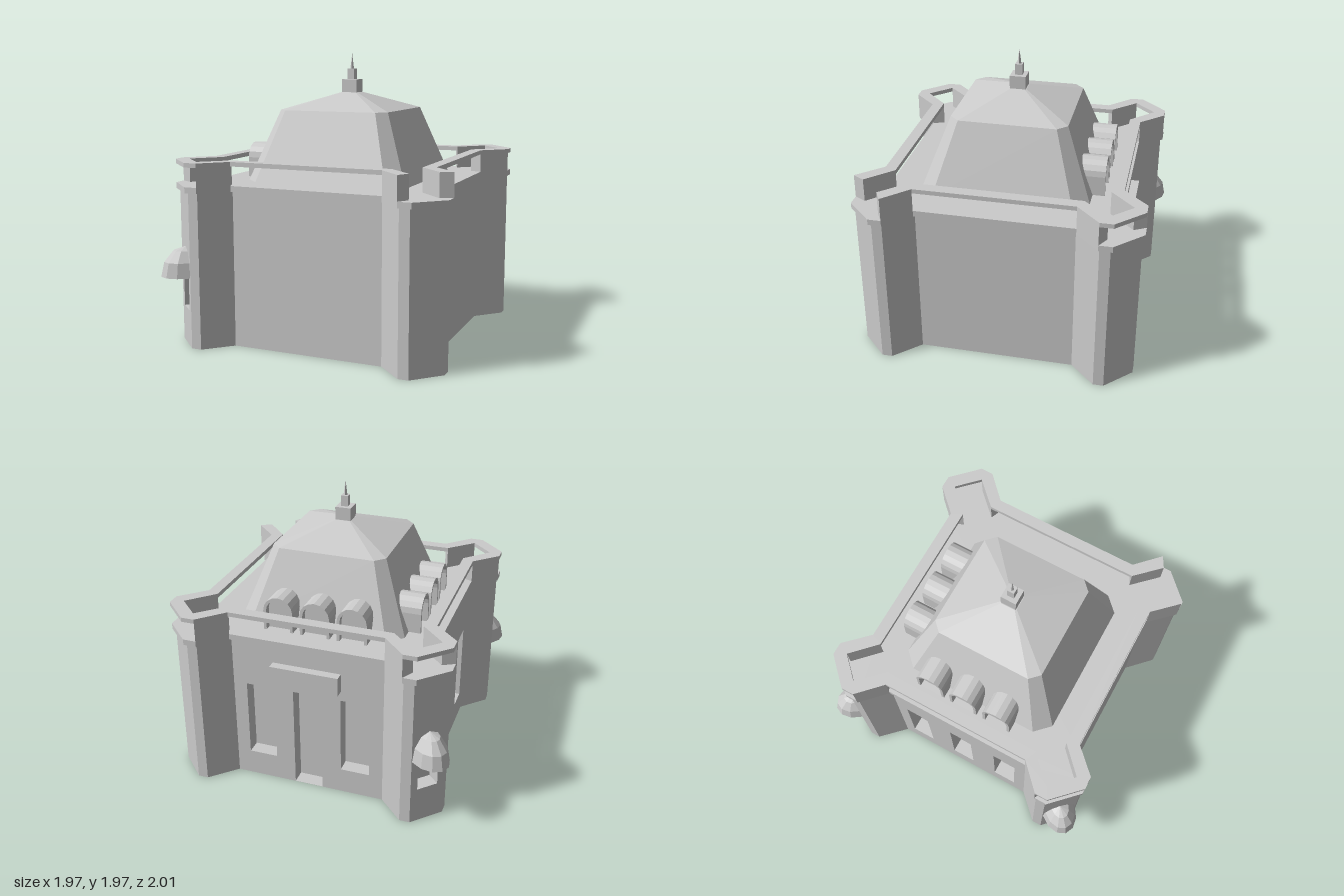
import * as THREE from 'three';
import { ConvexGeometry } from 'three/addons/geometries/ConvexGeometry.js';

const mat = new THREE.MeshStandardMaterial({ color: 0xcccccc, flatShading: true, side: THREE.DoubleSide });
const WALL_H = 1.06, DECK = 1.1, RAIL = 1.23, TOP = 1.26;

function add(parent, name, geometry, x = 0, y = 0, z = 0) {
  const mesh = new THREE.Mesh(geometry, mat);
  mesh.name = name;
  mesh.position.set(x, y, z);
  parent.add(mesh);
  return mesh;
}

// Quarter turns of a plan point [x, z]: front left, back left, back right, front right
function turn([x, z], k) {
  for (let i = 0; i < k; i++) [x, z] = [z, -x];
  return [x, z];
}
const corner = (pts, k) => pts.map((p) => turn(p, k));

// Corner bastion outlines in plan
const BODY = [[0.53, 0.78], [0.70, 0.946], [0.77, 0.946], [0.946, 0.77], [0.946, 0.70], [0.78, 0.53]];
const RIM = [[0.535, 0.80], [0.695, 0.965], [0.785, 0.965], [0.965, 0.785], [0.965, 0.695], [0.80, 0.535]];
const INNER = [[0.57, 0.72], [0.74, 0.885], [0.885, 0.74], [0.72, 0.57]];

// Extrude a plan outline upwards from y0 to y1
function slab(pts, y0, y1) {
  const shape = new THREE.Shape(pts.map(([x, z]) => new THREE.Vector2(x, -z)));
  const g = new THREE.ExtrudeGeometry(shape, { depth: y1 - y0, bevelEnabled: false });
  return g.rotateX(-Math.PI / 2).translate(0, y0, 0);
}

// Box without its front face, set behind an opening
function recess(w, h, d) {
  const g = new THREE.BoxGeometry(w, h, d);
  const idx = Array.from(g.index.array);
  idx.splice(24, 6);
  g.setIndex(idx);
  return g.translate(0, 0, -d / 2);
}

// Upright wall panel from p to q; openings are [centre, bottom, width, top]
function wall(parent, name, p, q, openings = []) {
  const ux = q[0] - p[0], uz = q[1] - p[1], half = Math.hypot(ux, uz) / 2;
  const group = new THREE.Group();
  group.name = name;
  group.position.set((p[0] + q[0]) / 2, 0, (p[1] + q[1]) / 2);
  group.rotation.y = Math.atan2(-uz, ux);
  const rect = (a, b, y0, y1) => [[a, y0], [b, y0], [b, y1], [a, y1]].map((v) => new THREE.Vector2(...v));
  const shape = new THREE.Shape(rect(-half, half, 0, WALL_H));
  for (const [c, y0, w, y1] of openings) {
    shape.holes.push(new THREE.Path(rect(c - w / 2, c + w / 2, y0, y1).reverse()));
    add(group, 'openingRecess', recess(w, y1 - y0, 0.1), c, (y0 + y1) / 2, 0);
  }
  add(group, 'wallPanel', new THREE.ShapeGeometry(shape));
  parent.add(group);
  return group;
}

// Arched dormer facing +z, centred on x = 0
function dormer() {
  const group = new THREE.Group();
  group.name = 'dormer';
  const arch = (Kind, r) => {
    const s = new Kind(), spring = 1.237 - DECK;
    s.moveTo(-r, 0);
    s.lineTo(r, 0);
    for (let i = 0; i <= 8; i++) {
      const a = (i / 8) * Math.PI;
      s.lineTo(Math.cos(a) * r, spring + Math.sin(a) * r);
    }
    s.closePath();
    return s;
  };
  const frame = arch(THREE.Shape, 0.103);
  frame.holes.push(arch(THREE.Path, 0.083));
  add(group, 'dormerFrame', new THREE.ExtrudeGeometry(frame, { depth: 0.21, bevelEnabled: false }), 0, DECK, 0.445);
  add(group, 'dormerPane', new THREE.ShapeGeometry(arch(THREE.Shape, 0.09)), 0, DECK, 0.61);
  return group;
}

export function createModel() {
  const model = new THREE.Group();
  model.name = 'pavilion';
  const building = new THREE.Group();
  building.name = 'building';
  building.position.x = 0.017;
  model.add(building);

  // Side walls: left, back, right, front
  const windows = [-0.36, 0, 0.36].map((c) => [c, 0.17, 0.17, 0.73]);
  const entrance = [[-0.335, 0.18, 0.2, 0.73], [0, 0.001, 0.2, 0.73], [0.335, 0.18, 0.2, 0.73]];
  const sides = [['leftWall', []], ['backWall', entrance], ['rightWall', windows], ['frontWall', []]];
  sides.forEach(([name, openings], k) => {
    const w = wall(building, name, turn(BODY[5], k), turn(BODY[0], k + 1), openings);
    if (name === 'backWall') add(w, 'doorPanel', new THREE.BoxGeometry(0.475, 0.13, 0.06), 0, 0.865, 0.03);
  });

  // Corner bastions, the two on the right with a hooded window
  for (let k = 0; k < 4; k++) {
    const pts = corner(BODY, k);
    for (let i = 0; i < 5; i++) {
      const hooded = i === 2 && k >= 2;
      const w = wall(building, 'bastionWall', pts[i], pts[i + 1], hooded ? [[0, 0.25, 0.15, 0.485]] : []);
      if (hooded) {
        const hood = new THREE.SphereGeometry(1, 6, 3, 0, Math.PI, 0, Math.PI / 2);
        add(w, 'windowHood', hood.scale(0.122, 0.2, 0.17), 0, 0.482, 0);
      }
    }
  }

  // Cornice and roof deck
  const outline = [0, 1, 2, 3].flatMap((k) => corner(RIM, k));
  add(building, 'corniceDeck', slab(outline, WALL_H, DECK));

  // Parapet rail, open at the front left bastion
  const outer = [...RIM.slice(4), ...[1, 2, 3].flatMap((k) => corner(RIM, k)), ...RIM.slice(0, 2)];
  const inner = [...INNER.slice(2), ...[1, 2, 3].flatMap((k) => corner(INNER, k)), ...INNER.slice(0, 2)];
  add(building, 'parapetRail', slab([...outer, ...inner.reverse()], RAIL, TOP));

  // Parapet blocks on the flanks of each bastion
  const flanks = [[RIM[0], RIM[1], INNER[1], INNER[0]], [RIM[4], RIM[5], INNER[3], INNER[2]]];
  for (let k = 0; k < 4; k++) {
    for (const f of flanks) add(building, 'parapetBlock', slab(corner(f, k), DECK, RAIL));
  }

  // Two-slope roof with chamfered corners
  const ring = (h, c, y) => [0, 1, 2, 3].flatMap((k) =>
    corner([[h - c, h], [h, h - c]], k).map(([x, z]) => new THREE.Vector3(x, y, z)));
  add(building, 'roof', new ConvexGeometry([
    ...ring(0.575, 0.1, DECK - 0.005), ...ring(0.395, 0.065, 1.58), ...ring(0.06, 0.01, 1.695)]));

  // Finial
  add(building, 'finialBase', new THREE.BoxGeometry(0.11, 0.1, 0.11), 0, 1.735, 0);
  add(building, 'finialBlock', new THREE.BoxGeometry(0.05, 0.075, 0.05), 0, 1.8225, 0);
  add(building, 'finialSpike', new THREE.ConeGeometry(0.014, 0.105, 4), 0, 1.9125, 0);

  // Dormers on the back and right roof slopes
  for (const [angle, shift] of [[Math.PI, 0.012], [-Math.PI / 2, -0.025]]) {
    const row = new THREE.Group();
    row.name = 'dormerRow';
    row.rotation.y = angle;
    for (const i of [-1, 0, 1]) {
      const d = dormer();
      d.position.x = i * 0.256 + shift;
      row.add(d);
    }
    building.add(row);
  }
  return model;
}
